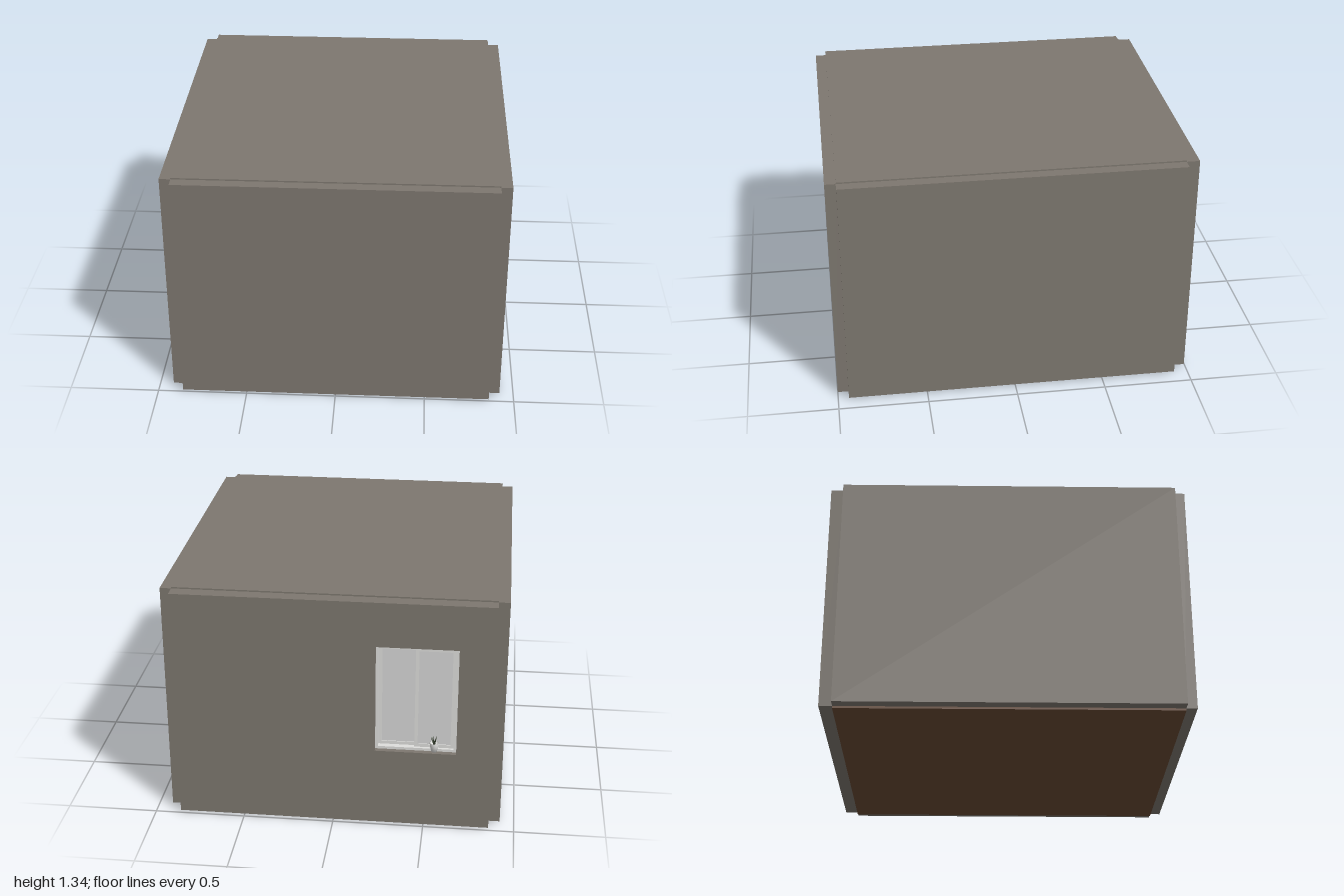
import * as THREE from 'three';

const material = (name, color) => {
  const m = new THREE.MeshStandardMaterial({ color });
  m.name = name;
  return m;
};

export function createModel() {
  const room = new THREE.Group();
  room.name = 'room';
  const wallPaint = material('wall grey', 0x7d776f);
  const wood = material('floor brown', 0x694a34);
  const white = material('frame white', 0xdededc);
  const glass = material('pane grey', 0xd6d7d6);
  const leafGreen = material('leaf dark green', 0x343d2c);

  const add = (parent, name, geometry, mat, x = 0, y = 0, z = 0) => {
    const mesh = new THREE.Mesh(geometry, mat);
    mesh.name = name;
    mesh.position.set(x, y, z);
    parent.add(mesh);
    return mesh;
  };
  // Box given by its minimum and maximum corners
  const box = (parent, name, mat, x0, x1, y0, y1, z0, z1) =>
    add(parent, name, new THREE.BoxGeometry(x1 - x0, y1 - y0, z1 - z0), mat,
      (x0 + x1) / 2, (y0 + y1) / 2, (z0 + z1) / 2);
  // Rectangle outline, used for the wall opening and the window frames
  const rect = (Type, x0, x1, y0, y1) => new Type([
    [x0, y0], [x1, y0], [x1, y1], [x0, y1],
  ].map(([x, y]) => new THREE.Vector2(x, y)));
  const framedPlate = (parent, name, mat, outer, inner, z, depth) => {
    const shape = rect(THREE.Shape, ...outer);
    shape.holes.push(rect(THREE.Path, ...inner));
    return add(parent, name, new THREE.ExtrudeGeometry(shape, { depth, bevelEnabled: false }), mat, 0, 0, z);
  };

  // Floor, ceiling and walls, with open notches at the corners
  const W = 0.86, back = -0.92, front = 0.94, low = 0.012, high = 1.332;
  box(room, 'floor', wood, -W, W, 0, low, back, front);
  box(room, 'ceiling', wallPaint, -W, W, high - 0.006, 1.34, back, front);
  box(room, 'frontWall', wallPaint, -W, W, low, high, front, 1);
  box(room, 'leftWall', wallPaint, W, 0.922, low, high, back, front);
  box(room, 'rightWall', wallPaint, -0.922, -W, low, high, back, front);
  const opening = [-0.67, -0.23, 0.46, 1.08];
  framedPlate(room, 'backWall', wallPaint, [-W, W, low, high], opening, -0.993, 0.073);

  // Sliding window set into the back wall
  const win = new THREE.Group();
  win.name = 'window';
  room.add(win);
  const [x0, x1, y0, y1] = opening;
  const inset = (x0, x1, y0, y1, t) => [x0 + t, x1 - t, y0 + t, y1 - t];
  framedPlate(win, 'outerFrame', white, opening, inset(...opening, 0.015), -0.965, 0.045);
  const sash = (name, a, b, z) => {
    const outer = [a, b, y0 + 0.015, y1 - 0.015];
    const inner = inset(...outer, 0.018);
    framedPlate(win, name + 'Frame', white, outer, inner, z, 0.014);
    box(win, name + 'Pane', glass, ...inner, z + 0.005, z + 0.009);
  };
  const mid = (x0 + x1) / 2;
  sash('rightSash', x0 + 0.015, mid + 0.009, -0.95);
  sash('leftSash', mid - 0.009, x1 - 0.015, -0.935);

  // Potted plant on the sill
  const plant = new THREE.Group();
  plant.name = 'pottedPlant';
  plant.position.set(-0.55, y0, -0.966);
  room.add(plant);
  const potProfile = [[0, 0], [0.015, 0], [0.023, 0.03], [0.025, 0.052], [0.021, 0.052], [0.019, 0.042], [0, 0.042]]
    .map(([r, y]) => new THREE.Vector2(r, y));
  add(plant, 'pot', new THREE.LatheGeometry(potProfile, 20), white, 0, 0.001, 0);
  for (let i = 0; i < 7; i++) {
    const length = 0.05 + 0.008 * (i % 3);
    const blade = new THREE.ConeGeometry(0.005, length, 5);
    blade.scale(1, 1, 0.5).translate(0, length / 2, 0);
    blade.rotateZ(0.25 + 0.13 * (i % 3)).rotateY((i / 7) * Math.PI * 2);
    add(plant, 'leaf', blade, leafGreen, 0, 0.04, 0);
  }
  return room;
}
